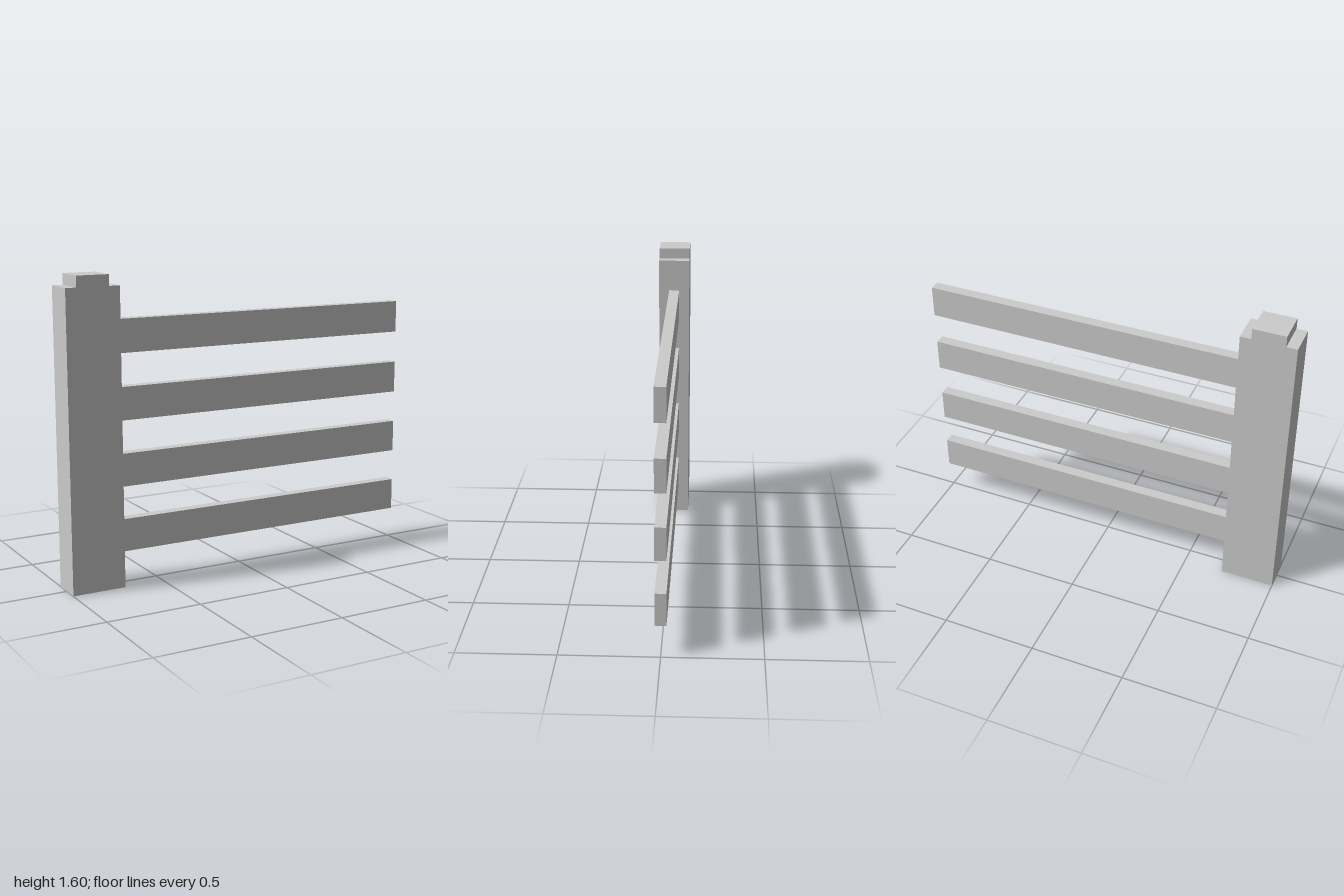
import * as THREE from 'three';

const U = 2 / 35; // plank thickness, the unit all sizes are multiples of

export function createModel() {
  const group = new THREE.Group();
  const material = new THREE.MeshStandardMaterial({ color: 0xcccccc, flatShading: true });

  // Post: stepped outline with a narrower top, extruded through its depth
  const outline = [[0, 0], [5, 0], [5, 27], [4, 27], [4, 28], [1, 28], [1, 27], [0, 27]];
  const shape = new THREE.Shape(outline.map(([x, y]) => new THREE.Vector2(x * U - 1, y * U)));
  const postGeometry = new THREE.ExtrudeGeometry(shape, { depth: 3 * U, bevelEnabled: false });
  postGeometry.translate(0, 0, -1.5 * U);
  const post = new THREE.Mesh(postGeometry, material);
  post.name = 'post';
  group.add(post);

  // Four evenly spaced rails reaching from the post to the open end
  const railGeometry = new THREE.BoxGeometry(30 * U, 3 * U, U);
  for (let i = 0; i < 4; i++) {
    const rail = new THREE.Mesh(railGeometry, material);
    rail.name = `rail${i + 1}`;
    rail.position.set(1 - 15 * U, (4.5 + 6 * i) * U, 0);
    group.add(rail);
  }

  return group;
}
